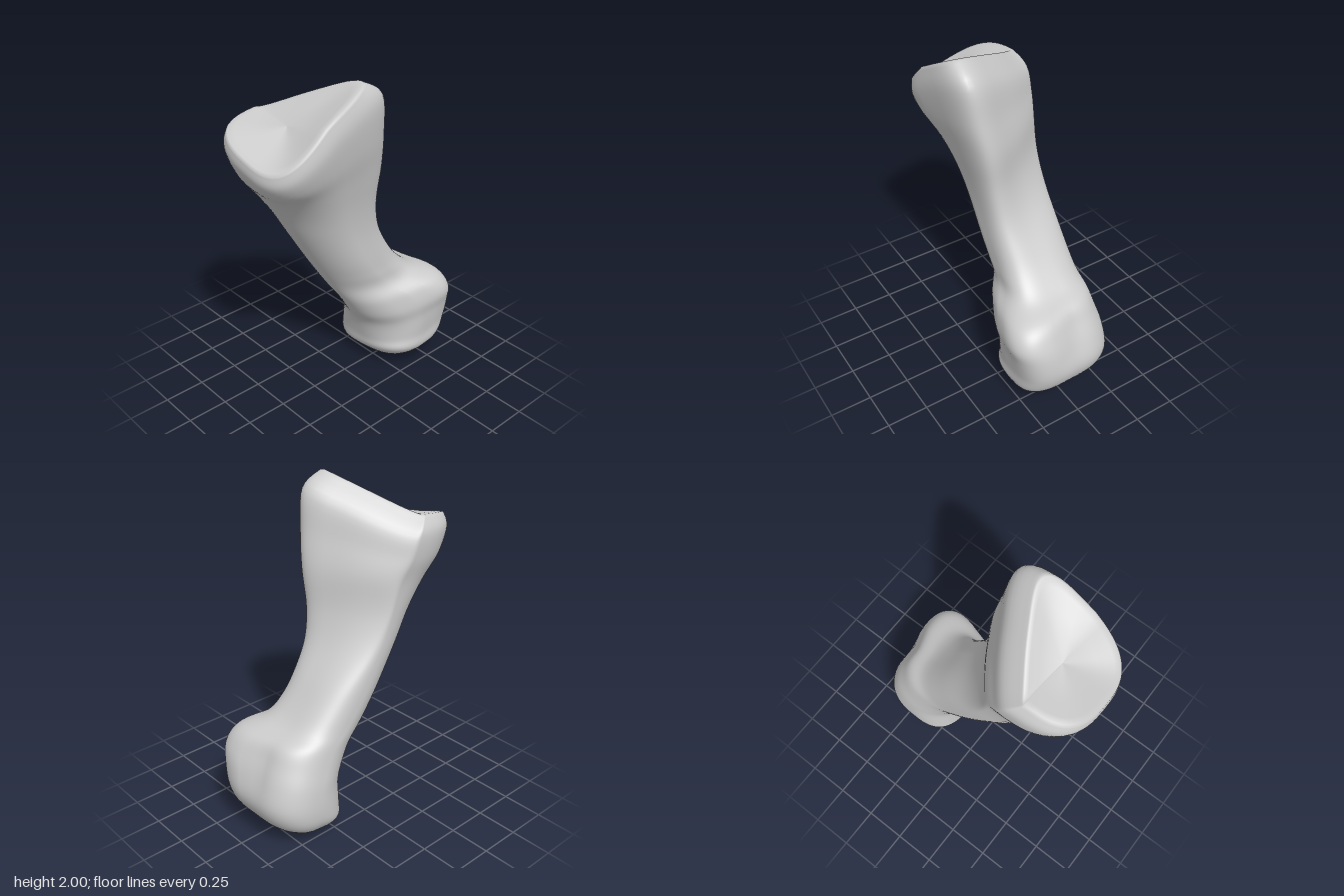
import * as THREE from 'three';

// Cross-sections from the lower head to the upper base:
// front z, front y, back z, back y, min x, max x, corner exponent (1 = ellipse)
const SECTIONS = [
  [-0.32, 0.008, -0.42, 0.008, -0.14, 0.05, 0.85],
  [-0.23, 0.055, -0.53, 0.06, -0.255, 0.185, 0.8],
  [-0.165, 0.12, -0.645, 0.155, -0.32, 0.275, 0.75],
  [-0.15, 0.2, -0.7, 0.28, -0.338, 0.285, 0.74],
  [-0.115, 0.33, -0.69, 0.42, -0.33, 0.315, 0.74],
  [-0.055, 0.43, -0.65, 0.53, -0.312, 0.345, 0.74],
  [0.005, 0.53, -0.585, 0.62, -0.297, 0.31, 0.74],
  [0.075, 0.64, -0.46, 0.675, -0.287, 0.21, 0.74],
  [0.145, 0.75, -0.365, 0.75, -0.285, 0.185, 0.74],
  [0.22, 0.87, -0.275, 0.87, -0.285, 0.18, 0.74],
  [0.36, 1.1, -0.19, 1.05, -0.285, 0.185, 0.74],
  [0.465, 1.27, -0.15, 1.25, -0.285, 0.21, 0.74],
  [0.56, 1.4, -0.135, 1.48, -0.295, 0.255, 0.74],
  [0.645, 1.5, -0.085, 1.66, -0.322, 0.305, 0.73],
  [0.695, 1.6, -0.03, 1.83, -0.325, 0.333, 0.72],
  [0.695, 1.67, 0.1, 1.915, -0.28, 0.315, 0.72],
];
const SIDES = 64, STEPS = 5;

const { smoothstep } = THREE.MathUtils;
const bell = (v, mid, width) => Math.exp(-(((v - mid) / width) ** 2));
const power = (v, e) => Math.sign(v) * Math.abs(v) ** e;

// Smooth blend of the section table at position u
function sectionAt(u) {
  const last = SECTIONS.length - 1;
  const i = Math.min(Math.floor(u), last - 1), t = u - i;
  const row = (k) => SECTIONS[THREE.MathUtils.clamp(k, 0, last)];
  return row(i).map((b, c) => {
    const a = row(i - 1)[c], d = row(i + 1)[c], e = row(i + 2)[c];
    return b + 0.5 * t * (d - a + t * (2 * a - 5 * b + 4 * d - e + t * (3 * (b - d) + e - a)));
  });
}

// One closed ring with the condyles, the back ridge and the twisted base
function ringAt(u) {
  const [zf, yf, zb, yb, x0, x1, e] = sectionAt(u);
  const midY = (yf + yb) / 2;
  const twist = smoothstep(midY, 1.35, 1.78);
  const ridge = 0.58 * smoothstep(midY, 0.7, 1.4);
  const roundFront = 0.3 * smoothstep(midY, 0.12, 0.4) * (1 - smoothstep(midY, 1.15, 1.6));
  const ring = [];
  for (let j = 0; j < SIDES; j++) {
    const a = (j / SIDES) * Math.PI * 2;
    const c = Math.cos(a), n = Math.sin(a);
    // Rounded front, crisp back corner on one side
    const corner = n > 0 ? e + roundFront : c > 0 ? e * 0.76 : e;
    const s = power(n, corner);
    const front = Math.max(s, 0), back = Math.max(-s, 0);
    let x = (x0 + x1) / 2 + ((x1 - x0) / 2) * power(c, corner);
    let y = midY + ((yf - yb) / 2) * s;
    let z = (zf + zb) / 2 + ((zf - zb) / 2) * s;
    // Head: knob toward the back on one side, shallow groove, sloped lower edge
    if (x > 0) x *= 1 - 0.2 * smoothstep(s, -0.7, 0.4) * bell(midY, 0.54, 0.18);
    z += 0.035 * back * bell(midY, 0.45, 0.18) * bell(x, -0.04, 0.09);
    z -= 0.13 * (x - 0.1) * back * bell(midY, 0.5, 0.22);
    y += 0.15 * x * front * bell(midY, 0.15, 0.1);
    // Shaft and base: ridge along the back corner, tilted joint rim
    z -= ridge * (x - 0.18) * back;
    y += twist * (x * (0.45 * back - 0.3 * front) + (x > 0 ? 0.16 * x * (1 - Math.abs(s)) : 0));
    ring.push(new THREE.Vector3(x, y, z));
  }
  return ring;
}

// Stitch rings into a closed smooth skin
function loft(rings) {
  const positions = rings.flat().flatMap((p) => p.toArray());
  const index = [];
  for (let i = 0; i < rings.length - 1; i++) {
    for (let j = 0; j < SIDES; j++) {
      const k = (j + 1) % SIDES;
      const a = i * SIDES + j, b = i * SIDES + k;
      const c = a + SIDES, d = b + SIDES;
      index.push(a, c, b, b, c, d);
    }
  }
  const geometry = new THREE.BufferGeometry();
  geometry.setAttribute('position', new THREE.Float32BufferAttribute(positions, 3));
  geometry.setIndex(index);
  geometry.computeVertexNormals();
  return geometry;
}

export function createModel() {
  const group = new THREE.Group();
  group.name = 'footBone';
  const rings = [];

  // Rounded underside of the head
  const tip = new THREE.Vector3(-0.045, 0, -0.37);
  rings.push(Array.from({ length: SIDES }, () => tip.clone()));

  // Head, shaft and flared base
  const count = (SECTIONS.length - 1) * STEPS;
  for (let i = 0; i <= count; i++) rings.push(ringAt(i / STEPS));

  // Dished joint face on top
  const rim = rings[rings.length - 1];
  const centre = rim.reduce((sum, p) => sum.add(p), new THREE.Vector3()).divideScalar(SIDES);
  for (const [scale, lift] of [[0.96, 0.008], [0.85, 0.004], [0.6, -0.012], [0.3, -0.022], [0, -0.025]]) {
    rings.push(rim.map((p) => {
      const q = centre.clone().lerp(p, scale);
      q.y += lift;
      q.z += lift * 0.4;
      return q;
    }));
  }

  const bone = new THREE.Mesh(loft(rings), new THREE.MeshStandardMaterial({ color: 0xcccccc }));
  bone.name = 'bone';
  group.add(bone);
  return group;
}
